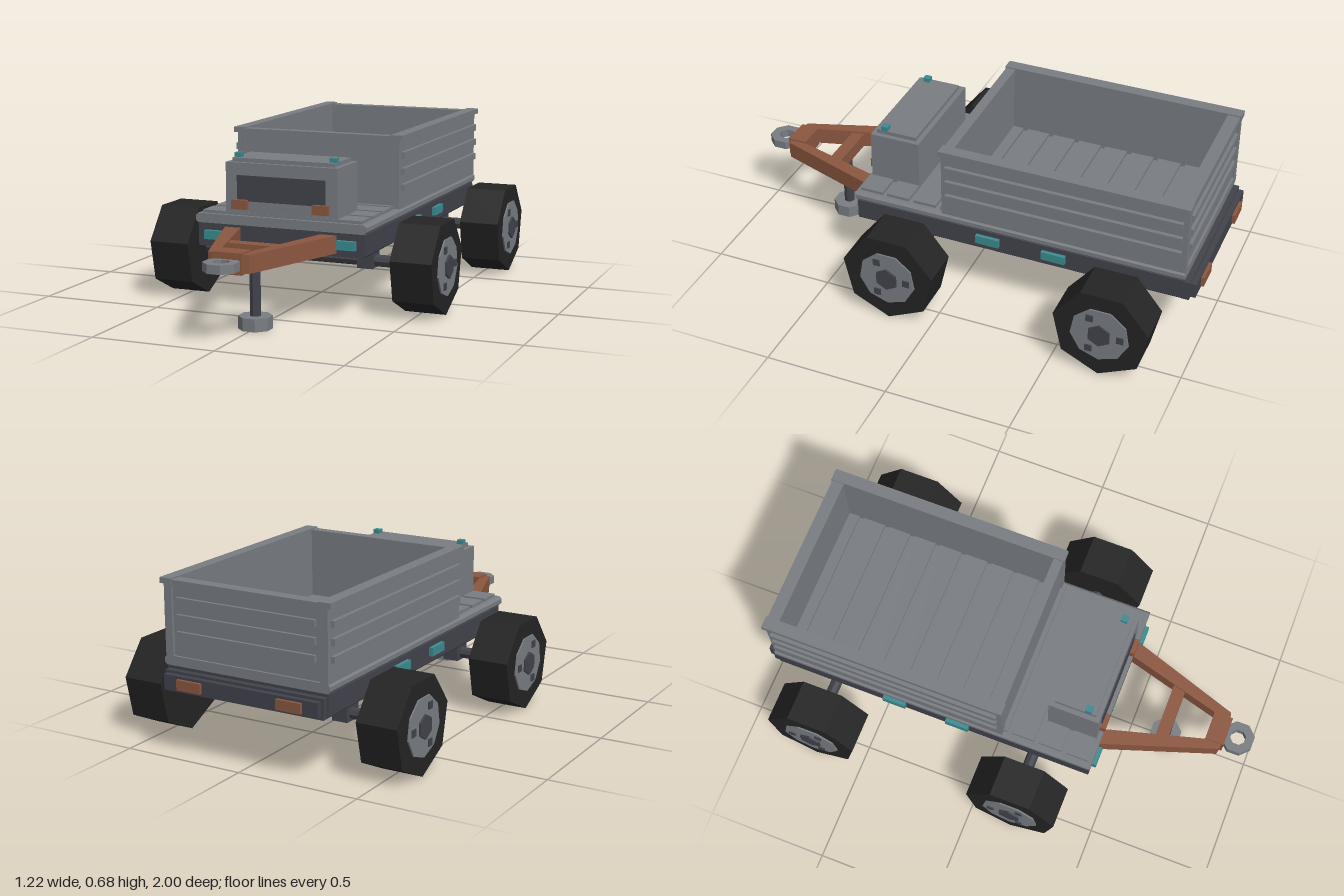
import * as THREE from 'three';

const paint = (name, color) => Object.assign(new THREE.MeshStandardMaterial({ color, flatShading: true }), { name });

export function createModel() {
  const steel = paint('grey steel', 0x797d82);
  const iron = paint('dark iron', 0x42424c);
  const rubber = paint('black rubber', 0x242424);
  const rust = paint('rust brown', 0x8c5740);
  const teal = paint('teal reflector', 0x3c8c92);
  const model = new THREE.Group();
  model.name = 'cargoTrailer';

  const add = (name, geo, mat, x = 0, y = 0, z = 0, parent = model) => {
    const m = new THREE.Mesh(geo, mat);
    m.name = name;
    m.position.set(x, y, z);
    parent.add(m);
    return m;
  };
  // Box given by its min and max on each axis
  const box = (name, mat, x0, x1, y0, y1, z0, z1, parent) =>
    add(name, new THREE.BoxGeometry(x1 - x0, y1 - y0, z1 - z0), mat,
      (x0 + x1) / 2, (y0 + y1) / 2, (z0 + z1) / 2, parent);
  // The same box on both sides
  const pair = (name, mat, x0, x1, ...rest) => {
    box(name + 'Left', mat, x0, x1, ...rest);
    box(name + 'Right', mat, -x1, -x0, ...rest);
  };
  // Slab along z whose cross-section has cut corners
  const slab = (name, mat, w, y0, y1, z0, z1, c) => {
    const s = new THREE.Shape([[-w + c, y0], [w - c, y0], [w, y0 + c], [w, y1 - c],
      [w - c, y1], [-w + c, y1], [-w, y1 - c], [-w, y0 + c]].map(p => new THREE.Vector2(...p)));
    add(name, new THREE.ExtrudeGeometry(s, { depth: z1 - z0, bevelEnabled: false }), mat, 0, 0, z0);
  };
  // Cylinder lying along x
  const drum = (r, len, sides) =>
    new THREE.CylinderGeometry(r, r, len, sides).rotateZ(Math.PI / 2).rotateX(Math.PI / 2);

  // Chassis, belly plate and rear bumper
  slab('chassis', iron, 0.35, 0.25, 0.345, -0.94, 0.42, 0.006);
  box('bellyPlate', steel, -0.16, 0.16, 0.242, 0.252, -0.53, -0.02);
  box('rearBumper', iron, -0.345, 0.345, 0.25, 0.33, -0.965, -0.935);
  box('rearBumperFace', iron, -0.335, 0.335, 0.26, 0.32, -0.987, -0.96);
  pair('tailLamp', rust, 0.165, 0.27, 0.27, 0.31, -1, -0.985);

  // Deck with planks across it
  slab('deck', steel, 0.36, 0.343, 0.38, -0.945, 0.425, 0.01);
  for (let i = 0; i < 12; i++) {
    const z = -0.96 + i * 0.115;
    box('plank', steel, -0.335, 0.335, 0.375, 0.392, Math.max(z + 0.01, -0.93), z + 0.105);
  }

  // Cargo bed: walls, ribs and top rails
  pair('bedSide', steel, 0.32, 0.353, 0.375, 0.665, -0.945, 0.05);
  box('bedFront', steel, -0.32, 0.32, 0.375, 0.668, 0.015, 0.045);
  box('bedTailgate', steel, -0.32, 0.32, 0.375, 0.665, -0.935, -0.9);
  pair('topRail', steel, 0.318, 0.368, 0.654, 0.676, -0.95, 0.055);
  box('frontRail', steel, -0.32, 0.32, 0.65, 0.671, 0.01, 0.05);
  box('tailgateRail', steel, -0.32, 0.32, 0.65, 0.671, -0.945, -0.895);
  for (const y of [0.45, 0.515, 0.58]) {
    pair('sideRib', steel, 0.35, 0.369, y, y + 0.027, -0.925, 0.03);
    box('tailgateRib', steel, -0.3, 0.3, y, y + 0.027, -0.948, -0.93);
  }

  // Front locker with lid, dark panel, lamps and markers
  box('locker', steel, -0.235, 0.235, 0.375, 0.587, 0.2, 0.408);
  box('lockerLid', steel, -0.215, 0.215, 0.585, 0.603, 0.22, 0.39);
  box('lockerPanel', iron, -0.186, 0.186, 0.437, 0.538, 0.405, 0.412);
  pair('lockerLamp', rust, 0.138, 0.203, 0.406, 0.443, 0.405, 0.43);
  pair('lidMarker', teal, 0.187, 0.215, 0.6, 0.62, 0.343, 0.37);

  // Reflectors on the chassis
  pair('frontReflector', teal, 0.24, 0.318, 0.28, 0.315, 0.415, 0.44);
  for (const z of [-0.195, -0.47]) pair('sideReflector', teal, 0.34, 0.366, 0.283, 0.318, z, z + 0.098);

  // Axles, brackets and seven-sided wheels
  for (const z of [0.176, -0.7]) {
    add('axle', drum(0.024, 1.0, 8), iron, 0, 0.193, z);
    pair('axleBracket', iron, 0.24, 0.305, 0.165, 0.26, z - 0.04, z + 0.04);
    for (const s of [1, -1]) {
      const wheel = new THREE.Group();
      wheel.name = s > 0 ? 'wheelLeft' : 'wheelRight';
      wheel.position.set(s * 0.514, 0.193, z);
      model.add(wheel);
      add('tyre', drum(0.193, 0.168, 7), rubber, 0, 0, 0, wheel);
      add('wheelDisc', drum(0.118, 0.02, 9), steel, s * 0.08, 0, 0, wheel);
      add('hub', drum(0.048, 0.03, 6), iron, s * 0.083, 0, 0, wheel);
      for (let i = 0; i < 3; i++) {
        const a = Math.PI / 3 + i * Math.PI * 2 / 3;
        add('lug', new THREE.BoxGeometry(0.02, 0.028, 0.028), iron,
          s * 0.085, Math.sin(a) * 0.082, Math.cos(a) * 0.082, wheel);
      }
    }
  }

  // A-frame drawbar
  for (const s of [1, -1]) {
    const pts = [[0.17, 0.415], [0.237, 0.415], [0.082, 0.875], [0.04, 0.885]];
    const shape = new THREE.Shape(pts.map(([x, z]) => new THREE.Vector2(s * x, z)));
    const geo = new THREE.ExtrudeGeometry(shape, { depth: 0.07, bevelEnabled: false });
    add(s > 0 ? 'drawbarLeft' : 'drawbarRight', geo.rotateX(Math.PI / 2), rust, 0, 0.332, 0);
  }
  box('drawbarCrosspiece', rust, -0.13, 0.13, 0.268, 0.325, 0.62, 0.672);
  box('couplingBlock', rust, -0.06, 0.06, 0.257, 0.338, 0.812, 0.89);

  // Tow ring
  const ring = new THREE.Shape();
  const hole = new THREE.Path();
  for (let i = 0; i < 8; i++) {
    const a = (i + 0.5) * Math.PI / 4, c = Math.cos(a), n = Math.sin(a);
    ring[i ? 'lineTo' : 'moveTo'](c * 0.068, n * 0.068);
    hole[i ? 'lineTo' : 'moveTo'](c * 0.032, n * 0.032);
  }
  ring.closePath();
  hole.closePath();
  ring.holes.push(hole);
  add('towRing', new THREE.ExtrudeGeometry(ring, { depth: 0.034, bevelEnabled: false }).rotateX(Math.PI / 2),
    steel, 0, 0.313, 0.935);

  // Support leg with a hollow foot
  add('supportLeg', new THREE.CylinderGeometry(0.022, 0.022, 0.25, 8), iron, 0, 0.165, 0.648);
  const foot = [[0, 0.03], [0.045, 0.03], [0.045, 0], [0.066, 0], [0.066, 0.05], [0, 0.05]];
  add('supportFoot', new THREE.LatheGeometry(foot.map(p => new THREE.Vector2(...p)), 8, Math.PI / 8),
    steel, 0, 0, 0.648);

  return model;
}
